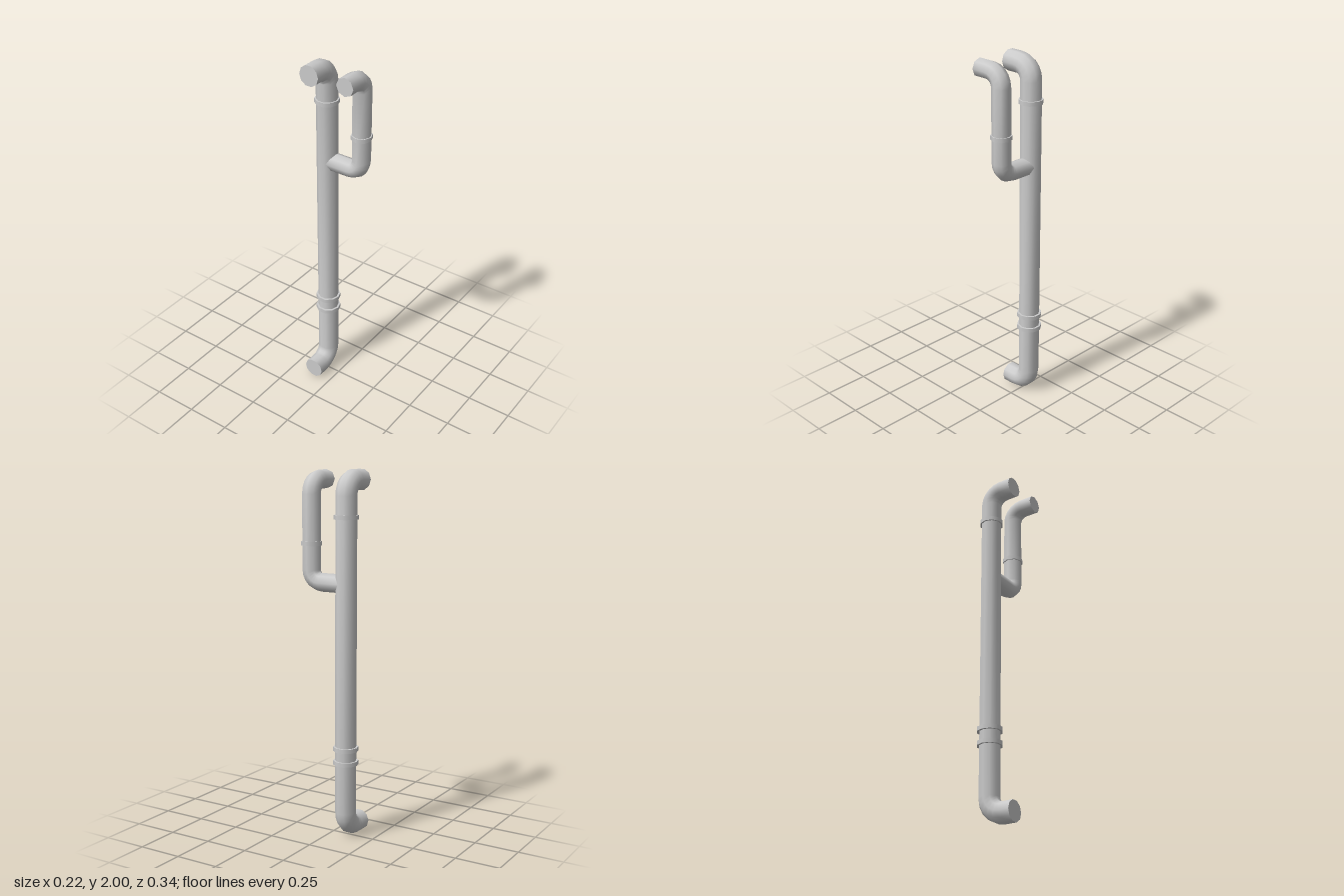
import * as THREE from 'three';
import { toCreasedNormals } from 'three/addons/utils/BufferGeometryUtils.js';

const material = new THREE.MeshStandardMaterial({ color: 0xcccccc });
const V = (x, y, z) => new THREE.Vector3(x, y, z);

// Sections (centre and direction) along a path whose corners are rounded by the given bend radii
function bentPath(points, bends, steps = 5) {
  const dirs = points.slice(1).map((p, i) => p.clone().sub(points[i]).normalize());
  const sections = [{ p: points[0], t: dirs[0] }];
  bends.forEach((r, i) => {
    const a = dirs[i], b = dirs[i + 1];
    const centre = points[i + 1].clone().addScaledVector(a, -r).addScaledVector(b, r);
    for (let k = 0; k <= steps; k++) {
      const ang = (k / steps) * Math.PI / 2, s = Math.sin(ang), c = Math.cos(ang);
      sections.push({
        p: centre.clone().addScaledVector(a, r * s).addScaledVector(b, -r * c),
        t: a.clone().multiplyScalar(c).addScaledVector(b, s),
      });
    }
  });
  sections.push({ p: points[points.length - 1], t: dirs[dirs.length - 1] });
  return sections;
}

// Capped pipe swept along the sections, its frame carried from one to the next
function pipe(name, sections, radius, sides, normal) {
  const pos = [], index = [], n = normal.clone(), last = sections.length - 1;
  sections.forEach(({ p, t }, i) => {
    if (i) n.applyQuaternion(new THREE.Quaternion().setFromUnitVectors(sections[i - 1].t, t));
    const b = t.clone().cross(n);
    for (let j = 0; j < sides; j++) {
      const a = (j / sides) * Math.PI * 2;
      const v = p.clone().addScaledVector(n, radius * Math.cos(a)).addScaledVector(b, radius * Math.sin(a));
      pos.push(v.x, v.y, v.z);
      const k = (j + 1) % sides, o = i * sides;
      if (i < last) index.push(o + j, o + k, o + sides + k, o + j, o + sides + k, o + sides + j);
    }
  });
  // end caps
  for (let j = 1; j < sides - 1; j++) {
    const o = last * sides;
    index.push(0, j + 1, j, o, o + j, o + j + 1);
  }
  const geo = new THREE.BufferGeometry();
  geo.setAttribute('position', new THREE.Float32BufferAttribute(pos, 3));
  geo.setIndex(index);
  const mesh = new THREE.Mesh(toCreasedNormals(geo, 1.0), material);
  mesh.name = name;
  return mesh;
}

function collar(name, radius, sides, y, z) {
  const mesh = new THREE.Mesh(new THREE.CylinderGeometry(radius, radius, 0.023, sides), material);
  mesh.position.set(0.043, y, z);
  mesh.name = name;
  return mesh;
}

export function createModel() {
  const group = new THREE.Group();
  group.name = 'drainPipes';
  const x = 0.043, wall = -0.11, mainZ = -0.103, branchZ = 0.1125, topY = 1.945;

  // main downpipe, turning to the wall at both ends
  group.add(pipe('mainPipe', bentPath(
    [V(wall, 0.055, mainZ), V(x, 0.055, mainZ), V(x, topY, mainZ), V(wall, topY, mainZ)],
    [0.09, 0.08]), 0.0575, 10, V(0, 0, 1)));

  // branch pipe, leaving the main pipe forwards and rising to the wall
  group.add(pipe('branchPipe', bentPath(
    [V(x, 1.405, mainZ), V(x, 1.405, branchZ), V(x, topY, branchZ), V(wall, topY, branchZ)],
    [0.065, 0.075]), 0.0505, 8, V(1, 0, 0)));

  // collars
  group.add(collar('upperCollar', 0.066, 10, 1.755, mainZ));
  group.add(collar('lowerCollarTop', 0.069, 10, 0.507, mainZ));
  group.add(collar('lowerCollarBottom', 0.069, 10, 0.43, mainZ));
  group.add(collar('branchCollar', 0.057, 8, 1.61, branchZ));
  return group;
}
